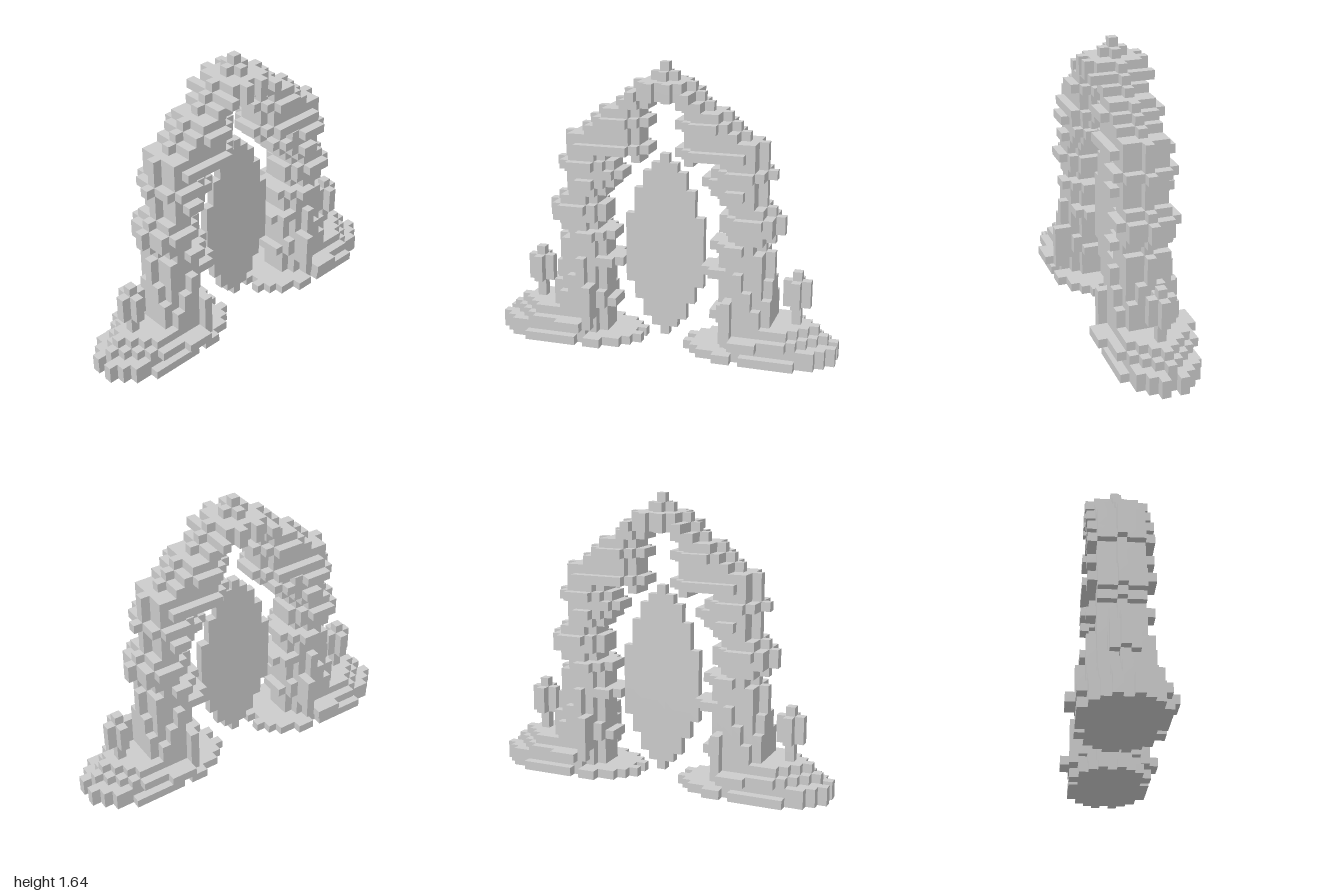
import * as THREE from 'three';

const U = 2 / 39; // edge of one block

// Steps by which a layer gets shorter, for each row away from z = 0
const ROUND = [0, 0, 1, 2, 4];
const OUTER = [0, 1, 1, 2];
const POINTED = [0, 1, 2, 3];
const NONE = [0, 0, 0, 0];

// A set of unit blocks; every block is repeated on both sides of z = 0.
class Blocks {
  constructor() { this.cells = new Map(); }
  set(x, y, z) { this.cells.set([x, y, z].join(), [x, y, z]); }
  box(x0, x1, y0, y1, z0, z1) {
    for (let x = x0; x <= x1; x++)
      for (let y = y0; y <= y1; y++)
        for (let z = z0; z <= z1; z++) { this.set(x, y, z); this.set(x, y, -z); }
    return this;
  }
  remove(x, y, z) {
    for (const s of [z, -z]) this.cells.delete([x, y, s].join());
    return this;
  }
  // one layer whose ends taper in steps
  slab(y, x0, x1, depth, inner = ROUND, outer = OUTER) {
    for (let z = 0; z <= depth; z++) this.box(x0 + inner[z], x1 - outer[z], y, y, z, z);
    return this;
  }
  // mirrored copy; with keep, both halves together
  mirrored(keep = false) {
    const r = new Blocks();
    for (const [x, y, z] of this.cells.values()) {
      r.set(-x, y, z);
      if (keep) r.set(x, y, z);
    }
    return r;
  }
  // only the outer faces are built
  mesh(name, material) {
    const pos = [], idx = [];
    for (const c of this.cells.values())
      for (let a = 0; a < 3; a++)
        for (const s of [-1, 1]) {
          const n = [...c];
          n[a] += s;
          if (this.cells.has(n.join())) continue;
          const k = pos.length / 3, b = (a + 1) % 3, d = (a + 2) % 3;
          for (const [p, q] of [[-1, -1], [1, -1], [1, 1], [-1, 1]]) {
            const v = [c[0], c[1] + 0.5, c[2]];
            v[a] += s / 2; v[b] += p / 2; v[d] += q / 2;
            pos.push(v[0] * U, v[1] * U, v[2] * U);
          }
          if (s > 0) idx.push(k, k + 1, k + 2, k, k + 2, k + 3);
          else idx.push(k, k + 2, k + 1, k, k + 3, k + 2);
        }
    const g = new THREE.BufferGeometry();
    g.setAttribute('position', new THREE.Float32BufferAttribute(pos, 3));
    g.setIndex(idx);
    const flat = g.toNonIndexed();
    flat.computeVertexNormals();
    const m = new THREE.Mesh(flat, material);
    m.name = name;
    return m;
  }
}

// Stepped rocky foot, with small notches in the rim
function base() {
  const b = new Blocks();
  b.slab(0, 3, 19, 4, ROUND, ROUND).remove(9, 0, 4).remove(3, 0, 0).remove(19, 0, 0);
  b.slab(1, 7, 19, 3, ROUND, ROUND).remove(19, 1, 0);
  b.slab(2, 7, 18, 3, ROUND, POINTED).box(8, 14, 2, 2, 4, 4).box(9, 11, 2, 2, 5, 5);
  b.slab(3, 7, 17, 3, ROUND, POINTED);
  return b;
}

// Pillar: [layer, inner x, outer x, half depth]
function pillar() {
  const b = new Blocks();
  const layers = [
    [4, 6, 12, 3], [5, 7, 12, 2], [6, 7, 12, 2], [7, 7, 12, 2], [8, 7, 12, 2],
    [9, 5, 12, 2], [10, 7, 12, 2], [11, 7, 12, 2], [12, 6, 11, 3], [13, 8, 12, 2],
    [14, 7, 13, 2], [15, 7, 13, 3], [16, 8, 12, 2], [17, 7, 11, 2], [18, 6, 11, 3],
    [19, 5, 11, 2], [20, 6, 12, 3], [21, 7, 11, 2],
  ];
  for (const l of layers) b.slab(...l);
  // upright ribs around the foot of the pillar
  b.box(9, 9, 4, 9, 3, 3).box(10, 10, 4, 7, 3, 3).box(8, 8, 3, 6, 3, 4);
  b.box(11, 11, 4, 5, 3, 3).box(12, 12, 4, 6, 2, 2).box(7, 7, 4, 5, 2, 2);
  b.box(12, 12, 4, 8, 1, 1);
  return b;
}

// Small post with a cross-shaped head
function lantern() {
  return new Blocks().box(15, 15, 4, 9, 0, 0).box(14, 16, 6, 8, 0, 0).box(15, 15, 6, 8, 1, 1);
}

// Stepped pointed arch
function arch() {
  const b = new Blocks();
  const layers = [
    [22, 2, 11, 3], [23, 3, 11, 2], [24, 3, 9, 2], [25, 2, 8, 3], [26, 3, 7, 2], [27, 2, 5, 2],
  ];
  for (const l of layers) b.slab(...l);
  b.box(3, 3, 21, 21, 0, 1);
  // crown
  b.slab(28, 0, 4, 2, NONE).box(3, 3, 28, 28, 3, 3).box(1, 1, 28, 28, 3, 3);
  b.slab(29, 0, 3, 2, NONE).box(1, 1, 29, 29, 3, 3);
  b.box(0, 1, 30, 30, 0, 0).box(0, 0, 30, 30, 1, 1).box(0, 0, 31, 31, 0, 0);
  return b.mirrored(true);
}

// Thin pointed oval sheet in the opening: half width of each layer from 1 up
function sheet() {
  const b = new Blocks();
  [0, 1, 2, 2, 3, 3, 4, 4, 4, 4, 4, 4, 4, 4, 3, 3, 3, 2, 2, 1, 0]
    .forEach((w, i) => b.box(-w, w, i + 1, i + 1, 0, 0));
  return b;
}

export function createModel() {
  const group = new THREE.Group();
  group.name = 'stoneGateway';
  const mat = new THREE.MeshStandardMaterial({ color: 0xcccccc, flatShading: true });
  for (const [name, make] of [['Base', base], ['Pillar', pillar], ['Lantern', lantern]])
    group.add(make().mesh('left' + name, mat), make().mirrored().mesh('right' + name, mat));
  group.add(arch().mesh('arch', mat), sheet().mesh('portalSheet', mat));
  return group;
}
